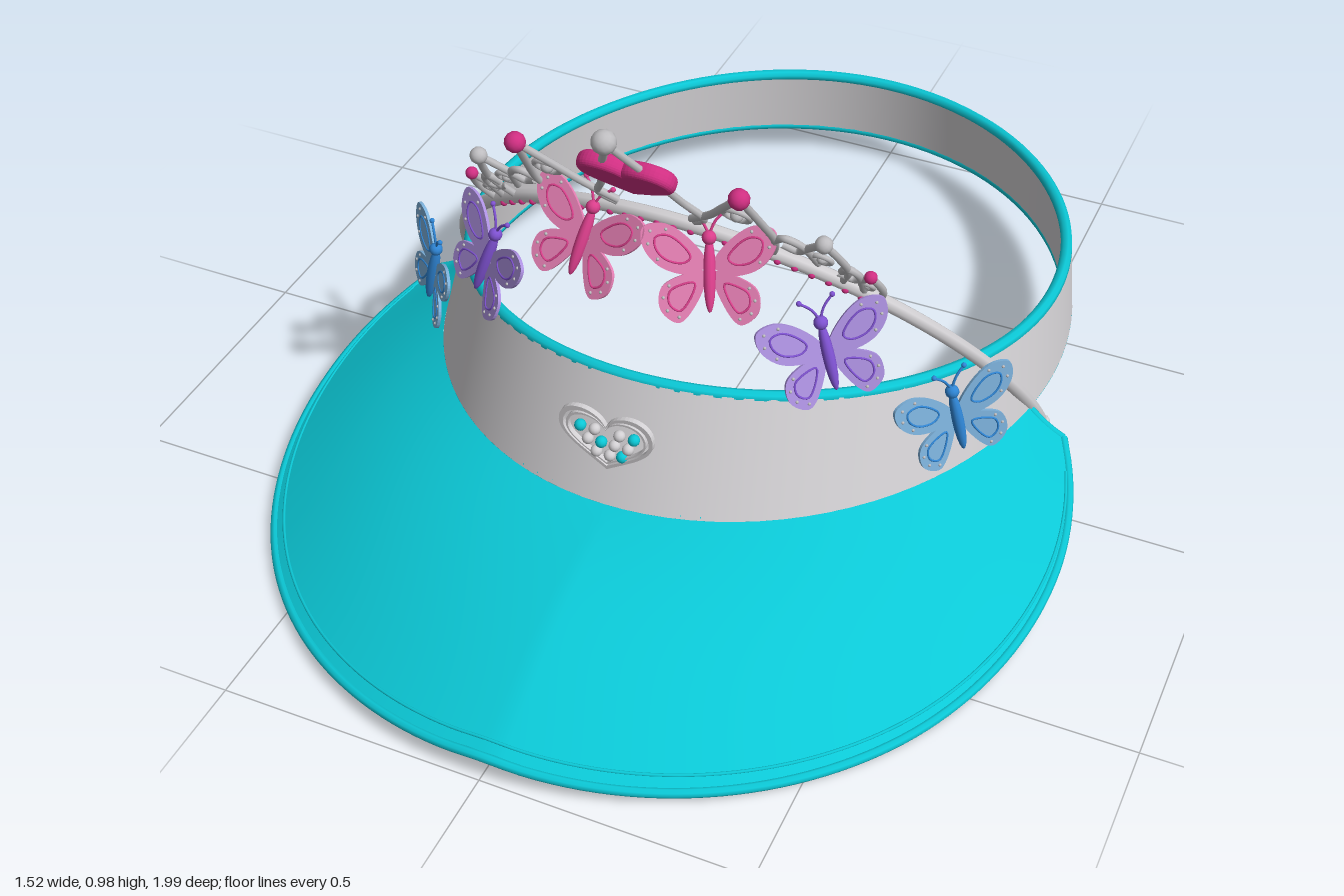
import * as THREE from 'three';
import { ParametricGeometry } from 'three/addons/geometries/ParametricGeometry.js';

const mat = (name, color, side = THREE.FrontSide) => {
  const m = new THREE.MeshStandardMaterial({ color, side });
  m.name = name;
  return m;
};
const M = {
  teal: mat('turquoise', 0x0bc8d6),
  band: mat('pale grey', 0xd2d0d3),
  silver: mat('silver', 0xbebdc0),
  magenta: mat('magenta', 0xd02f82),
  pink: mat('light pink', 0xe881b6),
  pinkDark: mat('strong pink', 0xdb3f8c),
  purple: mat('light purple', 0xae92e2),
  purpleDark: mat('strong purple', 0x7f52d2),
  blue: mat('light blue', 0x7db2dc),
  blueDark: mat('strong blue', 0x2f86d6),
};

const V = (x, y, z = 0) => new THREE.Vector3(x, y, z);

function add(parent, name, geometry, material, pos) {
  const m = new THREE.Mesh(geometry, material);
  m.name = name;
  if (pos) m.position.copy(pos);
  parent.add(m);
  return m;
}
const ball = (parent, name, r, material, pos) =>
  add(parent, name, new THREE.SphereGeometry(r, 12, 8), material, pos);
const tube = (parent, name, pts, r, material, closed = false, seg = 24) =>
  add(parent, name, new THREE.TubeGeometry(new THREE.CatmullRomCurve3(pts, closed), seg, r, 8, closed), material);
const sample = (n, fn) => Array.from({ length: n }, (_, i) => fn(i));

// ---------- band profile: tilted ellipses for the lower and upper edge ----------
function bandPoint(a, v, inset = 0) {
  const zb = -0.24 + (0.75 - inset) * Math.cos(a);
  const zt = -0.285 + (0.70 - inset) * Math.cos(a);
  const yb = 0.06 + 0.1 * (zb + 0.99);
  const u = (zt + 0.985) / 1.405;
  const yt = 0.2 + 0.23 * (0.4 * u + 0.6 * u * u);
  return V(
    THREE.MathUtils.lerp(0.61 - inset, 0.587 - inset, v) * Math.sin(a),
    THREE.MathUtils.lerp(yb, yt, v),
    THREE.MathUtils.lerp(zb, zt, v));
}

// ---------- brim: u runs across, s runs from the band to the outer edge ----------
function brimPoint(u, s, drop = 0) {
  const k = u * 2 - 1, t = Math.abs(k), phi = k * 2.033;
  const inner = bandPoint(k * 1.403, 0);
  const c = Math.cos(phi), d = Math.abs(t - 0.5) / 0.5;
  const outer = V(0.75 * Math.sin(phi),
    0.015 + (t < 0.5 ? 0.042 * Math.pow(d, 1.5) : 0.085 * d * d),
    0.2 + (c > 0 ? 0.79 : 0.7) * c);
  const p = inner.lerp(outer, s);
  p.y += (0.03 - 0.035 * t) * Math.sin(Math.PI * s) - drop;
  return p;
}

function heartShape(w, h, S = THREE.Shape) {
  const s = new S();
  s.moveTo(0, -h / 2);
  for (const k of [1, -1]) {
    const up = [[k * w * 0.2, -h * 0.3], [k * w * 0.5, -h * 0.1], [k * w * 0.5, h * 0.18]];
    const lobe = [[k * w * 0.5, h * 0.6], [k * w * 0.1, h * 0.6], [0, h * 0.27]];
    if (k > 0) {
      s.bezierCurveTo(...up.flat());
      s.bezierCurveTo(...lobe.flat());
    } else {
      s.bezierCurveTo(...lobe[1], ...lobe[0], ...up[2]);
      s.bezierCurveTo(...up[1], ...up[0], 0, -h / 2);
    }
  }
  return s;
}

function buildVisor(root) {
  const g = new THREE.Group();
  g.name = 'visor';
  root.add(g);
  const T = Math.PI * 2;
  add(g, 'bandOutside', new ParametricGeometry((u, v, o) => o.copy(bandPoint(u * T + Math.PI, v)), 96, 6), M.band);
  add(g, 'bandInside', new ParametricGeometry((u, v, o) => o.copy(bandPoint(Math.PI - u * T, v, 0.02)), 96, 6), M.band);
  tube(g, 'upperTrim', sample(48, i => bandPoint(i / 48 * T, 1, 0.011)), 0.012, M.teal, true, 120);
  tube(g, 'lowerTrim', sample(48, i => bandPoint(i / 48 * T, 0, 0.011)), 0.011, M.teal, true, 120);

  // brim shell, rim and stitched line
  add(g, 'brimTop', new ParametricGeometry((u, v, o) => o.copy(brimPoint(u, 1 - v)), 72, 12), M.teal);
  add(g, 'brimUnderside', new ParametricGeometry((u, v, o) => o.copy(brimPoint(u, v, 0.012)), 72, 12), M.teal);
  tube(g, 'brimRim', sample(41, i => brimPoint(i / 40, 1, 0.005)), 0.009, M.teal, false, 120);
  for (const u of [0, 1])
    tube(g, 'brimEnd', sample(7, i => brimPoint(u, i / 6, 0.005)), 0.008, M.teal);
  tube(g, 'brimStitching', sample(41, i => brimPoint(0.03 + 0.94 * i / 40, 0.95)), 0.003, M.teal, false, 120);

  // closure at the back
  const loop = sample(32, i => {
    const a = i / 32 * T, p = x => Math.sign(x) * Math.sqrt(Math.abs(x));
    return V(0.08 * p(Math.cos(a)), 0.06 * p(Math.sin(a)));
  });
  const buckle = new THREE.Group();
  buckle.name = 'backBuckle';
  buckle.position.set(0, 0.13, -0.988);
  g.add(buckle);
  tube(buckle, 'buckleFrame', loop, 0.007, M.silver, true, 64);
  add(buckle, 'bucklePlate', new THREE.ExtrudeGeometry(new THREE.Shape(loop), { depth: 0.008, bevelEnabled: false }), M.band, V(0, 0, -0.005));

  // heart badge on the front
  const badge = new THREE.Group();
  badge.name = 'heartBadge';
  badge.position.set(0, 0.338, 0.478);
  g.add(badge);
  for (const [w, h, e] of [[0.182, 0.128, 0.016], [0.155, 0.104, 0.008]]) {
    const s = heartShape(w, h);
    s.holes.push(heartShape(w - e, h - e, THREE.Path));
    add(badge, 'heartRing', new THREE.ExtrudeGeometry(s, { depth: 0.01, bevelEnabled: false, curveSegments: 16 }), M.band);
  }
  const beads = [[-0.052, 0.018, 1], [-0.024, 0.018, 0], [0.024, 0.018, 0], [0.052, 0.018, 1], [-0.038, -0.008, 0],
    [-0.012, -0.008, 1], [0.014, -0.008, 0], [0.04, -0.008, 0], [-0.022, -0.032, 0], [0.004, -0.034, 0], [0.028, -0.03, 1]];
  for (const [x, y, teal] of beads)
    ball(badge, 'badgeBead', 0.011, teal ? M.teal : M.band, V(x, y, 0.004));
}

function buildTiara(root) {
  // everything lies in one plane leaning forward
  const tilt = Math.atan(0.715);
  const P = (x, y, z = 0) => V(x, (y - 0.04) / Math.cos(tilt), z);
  const g = new THREE.Group();
  g.name = 'tiara';
  g.position.set(0, 0.04, -0.2);
  g.rotation.x = tilt;
  root.add(g);
  const arc = (a, z = 0) => P(0.605 * Math.cos(a), 0.04 + 0.63 * Math.sin(a), z);
  tube(g, 'tiaraArc', sample(33, i => arc(i / 32 * Math.PI)), 0.014, M.band, false, 96);
  for (let i = 0; i < 25; i++)
    ball(g, 'arcGem', 0.007, M.magenta, arc(0.95 + i / 24 * (Math.PI - 1.9), 0.011));

  // central spire and heart
  const wire = (name, pts) => tube(g, name, pts.map(p => P(...p)), 0.007, M.silver);
  ball(g, 'spireBall', 0.022, M.silver, P(0, 0.957));
  add(g, 'centreHeart', new THREE.ExtrudeGeometry(heartShape(0.158, 0.088),
    { depth: 0.006, bevelSize: 0.011, bevelThickness: 0.013, bevelSegments: 5, curveSegments: 16 }), M.magenta, P(0, 0.832, -0.003));

  for (const s of [1, -1]) {
    const w = (name, pts) => wire(name, pts.map(([x, y]) => [x * s, y]));
    ball(g, 'arcTip', 0.018, M.band, arc(s > 0 ? 0 : Math.PI));
    w('spireSide', [[0, 0.95], [0.022, 0.9], [0.05, 0.84], [0.075, 0.77], [0.1, 0.715], [0.075, 0.69]]);
    // three side peaks: tip, outer leg, inner leg, ring
    const peaks = [
      [[0.205, 0.853], 0.019, M.magenta, [[0.218, 0.77], [0.225, 0.7], [0.2, 0.62]], [[0.155, 0.79], [0.12, 0.745], [0.07, 0.7]], [0.177, 0.773, 0.024]],
      [[0.325, 0.74], 0.016, M.silver, [[0.34, 0.69], [0.345, 0.64], [0.32, 0.58]], [[0.285, 0.70], [0.26, 0.675], [0.235, 0.69]], [0.302, 0.665, 0.018]],
      [[0.385, 0.637], 0.012, M.magenta, [[0.393, 0.61], [0.395, 0.58], [0.38, 0.535]], [[0.365, 0.615], [0.345, 0.605], [0.32, 0.62]], [0.367, 0.588, 0.012]],
    ];
    for (const [tip, r, m, outer, inner, [rx, ry, rr]] of peaks) {
      ball(g, 'peakBall', r, m, P(tip[0] * s, tip[1]));
      w('peakOuterWire', [tip, ...outer]);
      w('peakInnerWire', [tip, ...inner]);
      add(g, 'peakRing', new THREE.TorusGeometry(rr, 0.005, 8, 20), M.silver, P(rx * s, ry));
      ball(g, 'peakBead', rr * 0.5, M.silver, P(rx * s, ry));
    }
    // small scrolls joining the peaks to the arc
    w('scroll', [[0.225, 0.7], [0.25, 0.72], [0.275, 0.705], [0.29, 0.64]]);
    w('scroll', [[0.33, 0.63], [0.345, 0.65], [0.36, 0.635], [0.355, 0.56]]);
  }
}

const UPPER = [[0.006, 0.012], [0.035, 0.055], [0.08, 0.083], [0.116, 0.076], [0.116, 0.042], [0.085, 0.006], [0.03, -0.006]];
const LOWER = [[0.006, -0.002], [0.05, -0.008], [0.085, -0.03], [0.086, -0.07], [0.055, -0.092], [0.028, -0.065]];

function butterfly(root, wing, dark, pos, pitch, yaw, roll) {
  const g = new THREE.Group();
  g.name = 'butterfly';
  g.position.copy(pos);
  g.rotation.set(pitch, yaw, roll, 'YXZ');
  root.add(g);
  const body = add(g, 'body', new THREE.SphereGeometry(1, 12, 10), dark, V(0, -0.005, 0.006));
  body.scale.set(0.011, 0.068, 0.012);
  ball(g, 'head', 0.013, dark, V(0, 0.06, 0.008));
  for (const s of [1, -1]) {
    tube(g, 'antenna', [V(0, 0.065, 0.008), V(s * 0.012, 0.09, 0.012), V(s * 0.03, 0.108, 0.014)], 0.0025, dark);
    ball(g, 'antennaTip', 0.005, dark, V(s * 0.03, 0.108, 0.014));
    const side = new THREE.Group();
    side.name = 'wingPair';
    side.rotation.y = -s * 0.12;
    g.add(side);
    for (const [name, pts] of [['upperWing', UPPER], ['lowerWing', LOWER]]) {
      const curve = new THREE.CatmullRomCurve3(pts.map(([x, y]) => V(x * s, y)), true);
      const outline = curve.getPoints(40);
      add(side, name, new THREE.ExtrudeGeometry(new THREE.Shape(outline.slice(0, 40)), { depth: 0.006, bevelEnabled: false }), wing, V(0, 0, -0.003));
      // inner vein loop and beads
      const c = pts.reduce((a, [x, y]) => a.add(V(x * s, y)), V(0, 0)).divideScalar(pts.length);
      tube(side, 'wingVein', pts.map(([x, y]) => V(x * s, y).lerp(c, 0.45).setZ(0.003)), 0.002, dark, true, 32);
      for (let i = 0; i < 4; i++) {
        const p = curve.getPoint(0.28 + i * 0.13).lerp(c, 0.22).setZ(0.003);
        ball(side, 'wingBead', 0.003, M.silver, p);
      }
    }
  }
}

export function createModel() {
  const root = new THREE.Group();
  root.name = 'tiaraVisor';
  buildVisor(root);
  buildTiara(root);
  for (const s of [1, -1]) {
    butterfly(root, M.pink, M.pinkDark, V(0.12 * s, 0.625, 0.305), -0.45, 0.2 * s, 0.1 * s);
    butterfly(root, M.purple, M.purpleDark, V(0.33 * s, 0.495, 0.28), -0.3, 0.6 * s, 0.18 * s);
    butterfly(root, M.blue, M.blueDark, V(0.53 * s, 0.31, 0.145), -0.15, 0.8 * s, 0.18 * s);
  }
  return root;
}
